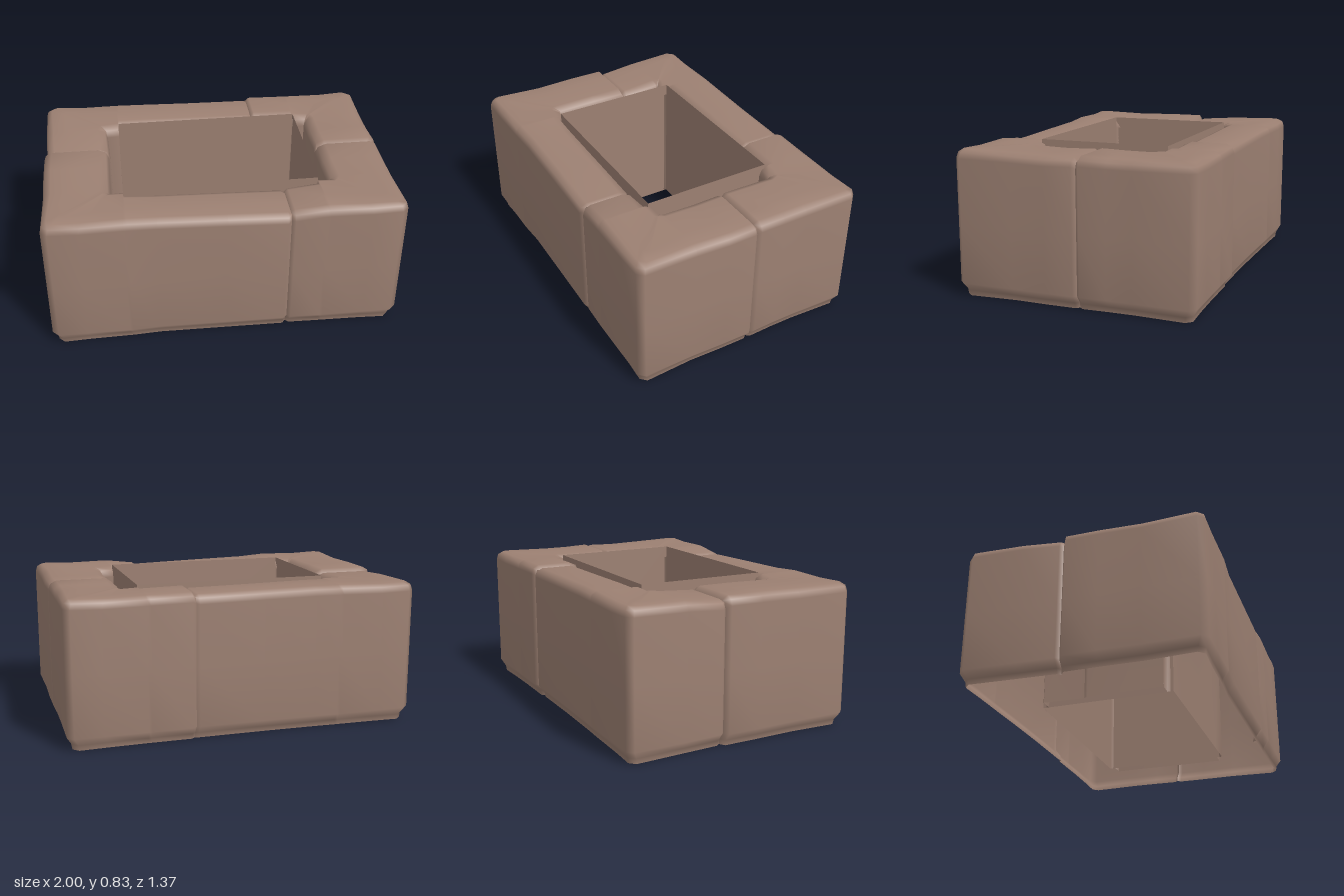
import * as THREE from 'three';

const stoneMaterial = new THREE.MeshStandardMaterial({ color: 0x9c8072, side: THREE.DoubleSide });
stoneMaterial.name = 'brown stone';

// Stations run around the ring: [outer x, outer z, inner x, inner z, top height]
const front = (x, h, z = 0.68) => [x, z, x, 0.38, h];
const back = (x, h, z = -0.685) => [x, z, x, -0.38, h];
const side = (s, z, h) => [s, z, s * 0.62, z, h];

// Corner with a notch on the inside, listed from the long wall to the short wall
function corner(sx, sz, h) {
  const Z = sz * 0.685, n = sz * 0.345;
  return [
    [sx * 0.54, Z, sx * 0.55, sz * 0.38, h],
    [sx * 0.56, Z, sx * 0.55, n, h],
    [sx * 0.8, Z, sx * 0.62, n, h - 0.005],
    [sx * 0.965, Z, sx * 0.62, n, h],
    [sx, sz * 0.65, sx * 0.62, n, h],
    [sx * 0.995, n, sx * 0.62, n, h - 0.005],
  ];
}

// Cross-section of the ring: [inset from outer face, or from inner face if negative, height]
function profile(h, dip) {
  return [
    [0.04 + dip, 0], [0.035 + dip, 0.03], [dip, 0.075], [dip, h * 0.5], [dip, h - 0.05],
    [0.012 + dip, h - 0.018], [0.045 + dip, h - dip], [0.14, h - dip],
    [-0.06, h - dip], [-0.015, h - 0.02 - dip], [-0.0001, h - 0.06], [-0.0001, 0],
  ];
}

// Lofts one stone; its first and last stations sink to make the joints
function stone(name, stations) {
  const positions = [], indices = [];
  let rows = 0;
  stations.forEach(([ox, oz, ix, iz, h], i) => {
    const joint = i === 0 || i === stations.length - 1;
    const length = Math.hypot(ix - ox, iz - oz);
    const section = profile(h, joint ? 0.018 : 0);
    rows = section.length;
    for (const [inset, y] of section) {
      const t = inset < 0 ? 1 + inset / length : inset / length;
      positions.push(ox + (ix - ox) * t, y, oz + (iz - oz) * t);
    }
  });
  for (let i = 0; i < stations.length - 1; i++) {
    for (let j = 0; j < rows - 1; j++) {
      const a = i * rows + j, b = a + rows;
      indices.push(a, b, a + 1, b, b + 1, a + 1);
    }
  }
  const geometry = new THREE.BufferGeometry();
  geometry.setAttribute('position', new THREE.Float32BufferAttribute(positions, 3));
  geometry.setIndex(indices);
  geometry.computeVertexNormals();
  const mesh = new THREE.Mesh(geometry, stoneMaterial);
  mesh.name = name;
  return mesh;
}

export function createModel() {
  const group = new THREE.Group();
  group.name = 'stonePlanter';

  // Four irregular stones, joined at one seam on each side
  group.add(
    stone('frontLeftStone', [
      front(0.35, 0.795), front(0.37, 0.8), ...corner(1, 1, 0.82),
      side(1, 0.15, 0.81), side(1, -0.01, 0.815), side(1, -0.03, 0.805),
    ]),
    stone('backLeftStone', [
      side(1, -0.03, 0.805), side(1, -0.05, 0.82), side(0.995, -0.2, 0.815),
      ...corner(1, -1, 0.82).reverse(),
      back(0.31, 0.825), back(0.29, 0.815),
    ]),
    stone('backRightStone', [
      back(0.29, 0.815), back(0.27, 0.81, -0.675), back(-0.1, 0.815, -0.675), back(-0.4, 0.82, -0.68),
      ...corner(-1, -1, 0.82),
      side(-0.985, -0.13, 0.8), side(-0.985, -0.11, 0.8),
    ]),
    stone('frontRightStone', [
      side(-0.985, -0.11, 0.8), side(-1, -0.09, 0.82), side(-1, 0.1, 0.82),
      ...corner(-1, 1, 0.82).reverse(),
      front(-0.38, 0.81, 0.675), front(0, 0.8, 0.68), front(0.33, 0.79, 0.685), front(0.35, 0.795),
    ]),
  );

  // Thin upright liner inside the opening
  const liner = new THREE.Group();
  liner.name = 'liner';
  const panel = (name, width, x, z, turn) => {
    const mesh = new THREE.Mesh(new THREE.PlaneGeometry(width, 0.83), stoneMaterial);
    mesh.name = name;
    mesh.position.set(x, 0.415, z);
    mesh.rotation.y = turn;
    liner.add(mesh);
  };
  panel('linerFront', 1.1, 0, 0.379, Math.PI);
  panel('linerBack', 1.1, 0, -0.379, 0);
  panel('linerLeft', 0.758, 0.55, 0, -Math.PI / 2);
  panel('linerRight', 0.758, -0.55, 0, Math.PI / 2);
  group.add(liner);

  return group;
}
